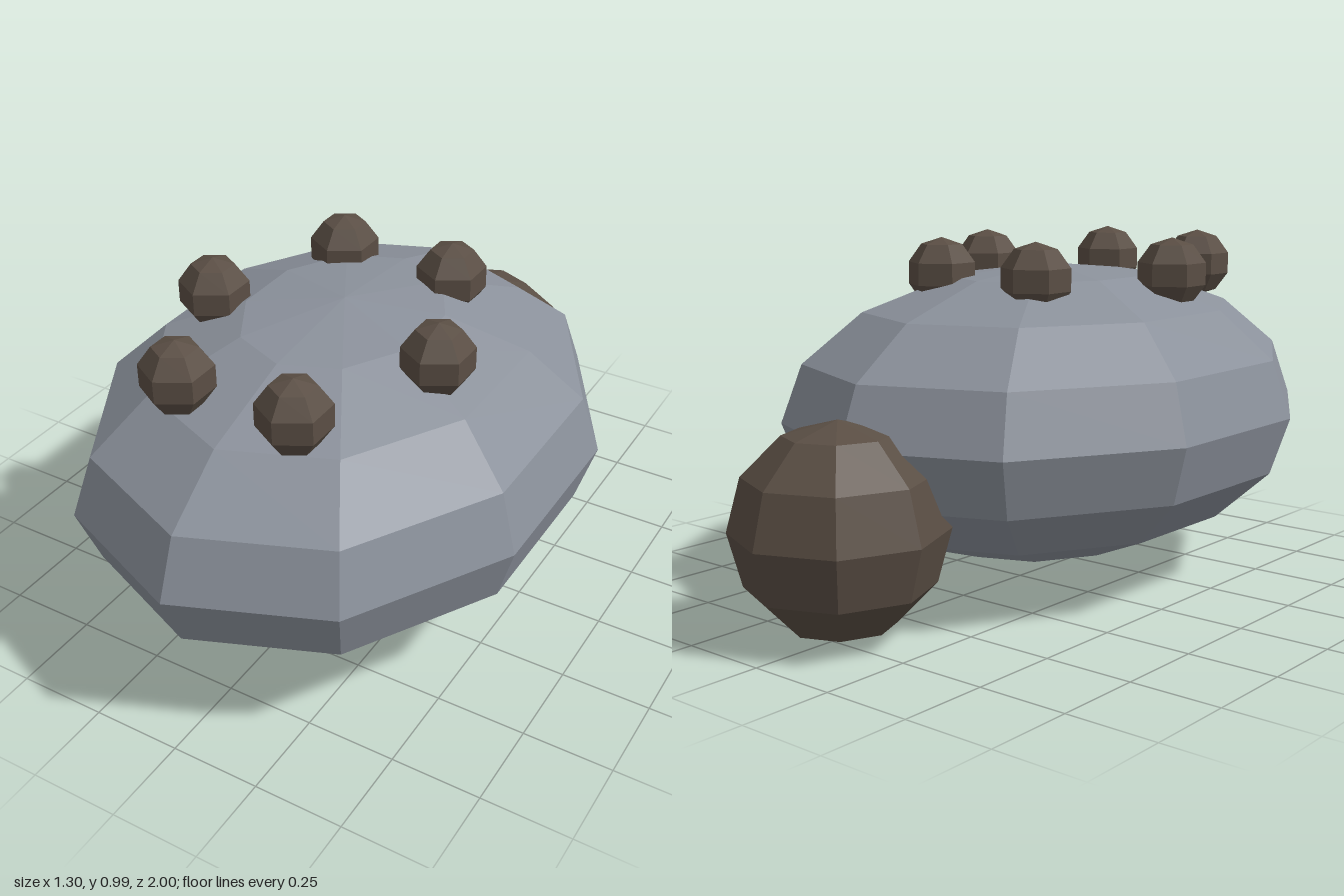
import * as THREE from 'three';

export function createModel() {
  const group = new THREE.Group();
  const stone = new THREE.MeshStandardMaterial({ color: 0x8b919b, flatShading: true });
  const brown = new THREE.MeshStandardMaterial({ color: 0x5a4e44, flatShading: true });

  // Low-poly ball, turned so that a corner points along z, then stretched
  function ball(name, material, [rx, ry, rz], [x, y, z], sides, rings) {
    const geometry = new THREE.SphereGeometry(1, sides, rings);
    geometry.rotateY(Math.PI / 2).scale(rx, ry, rz);
    const mesh = new THREE.Mesh(geometry, material);
    mesh.name = name;
    mesh.position.set(x, y, z);
    group.add(mesh);
  }

  // Main body and the round tail at the back
  ball('body', stone, [0.684, 0.423, 0.857], [0, 0.488, 0.142], 10, 8);
  ball('tail', brown, [0.285, 0.285, 0.285], [0, 0.285, -0.715], 8, 6);

  // Oval ring of six knobs on the back
  for (let i = 0; i < 6; i++) {
    const a = (i * Math.PI) / 3;
    const position = [Math.cos(a) * 0.3425, 0.89, 0.256 + Math.sin(a) * 0.458];
    ball('knob' + (i + 1), brown, [0.101, 0.101, 0.101], position, 6, 5);
  }

  return group;
}
